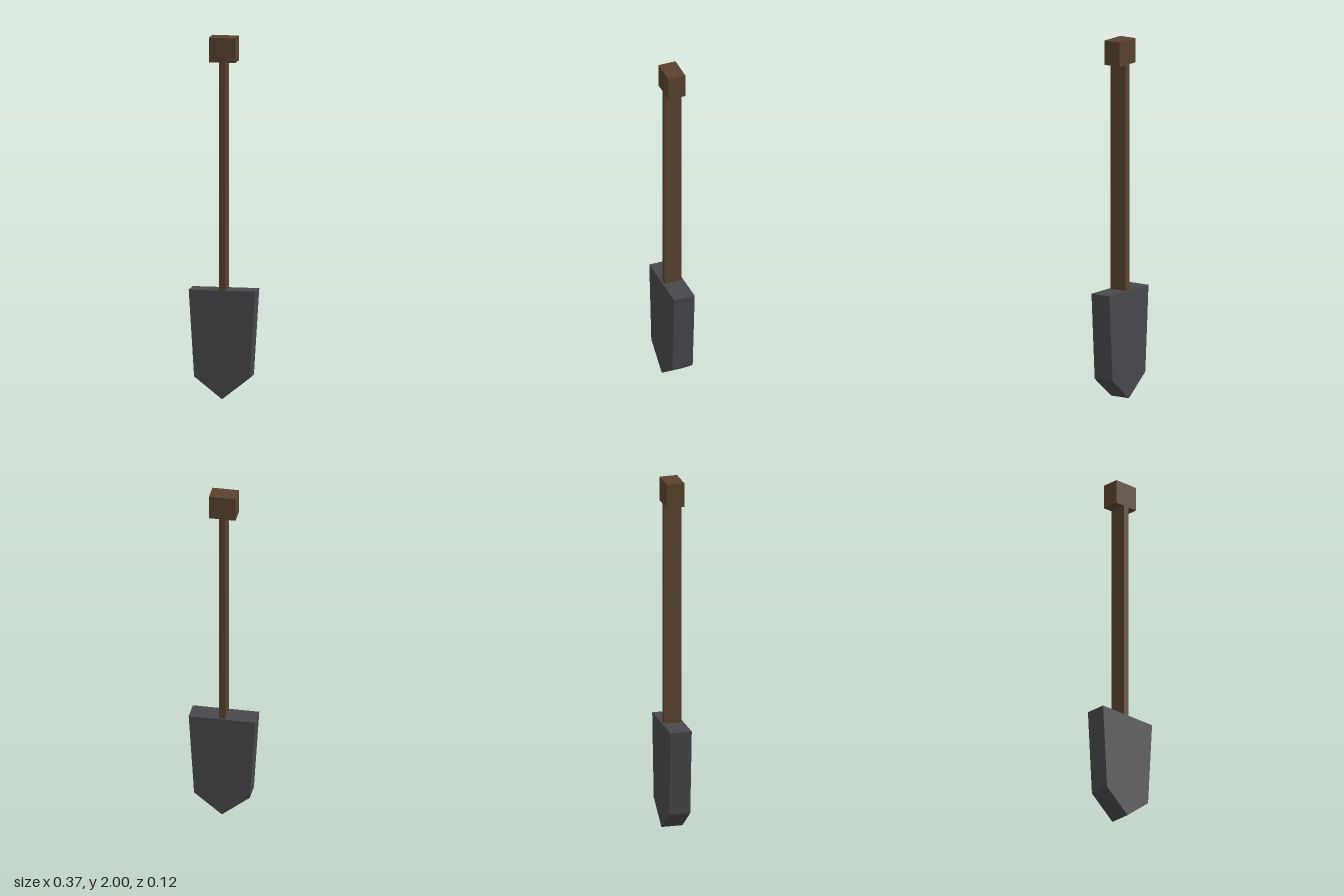
import * as THREE from 'three';

export function createModel() {
  const group = new THREE.Group();
  group.name = 'shovel';

  const wood = new THREE.MeshStandardMaterial({ color: 0x5a432c });
  wood.name = 'brown wood';
  const metal = new THREE.MeshStandardMaterial({ color: 0x49484d });
  metal.name = 'dark grey metal';

  // Box spanning the heights y0 to y1
  const addBox = (name, width, depth, y0, y1) => {
    const mesh = new THREE.Mesh(new THREE.BoxGeometry(width, y1 - y0, depth), wood);
    mesh.position.y = (y0 + y1) / 2;
    mesh.name = name;
    group.add(mesh);
  };

  // Wooden grip and flat shaft
  addBox('grip', 0.148, 0.1, 1.864, 2);
  addBox('shaft', 0.035, 0.1, 0.6, 1.864);

  // Pointed, slightly tapering blade
  const outline = new THREE.Shape([
    new THREE.Vector2(0, 0),
    new THREE.Vector2(0.155, 0.122),
    new THREE.Vector2(0.185, 0.602),
    new THREE.Vector2(-0.185, 0.602),
    new THREE.Vector2(-0.155, 0.122),
  ]);
  const depth = 0.12;
  const bladeGeometry = new THREE.ExtrudeGeometry(outline, { depth, bevelEnabled: false });
  bladeGeometry.translate(0, 0, -depth / 2);
  const blade = new THREE.Mesh(bladeGeometry, metal);
  blade.name = 'blade';
  group.add(blade);

  return group;
}
